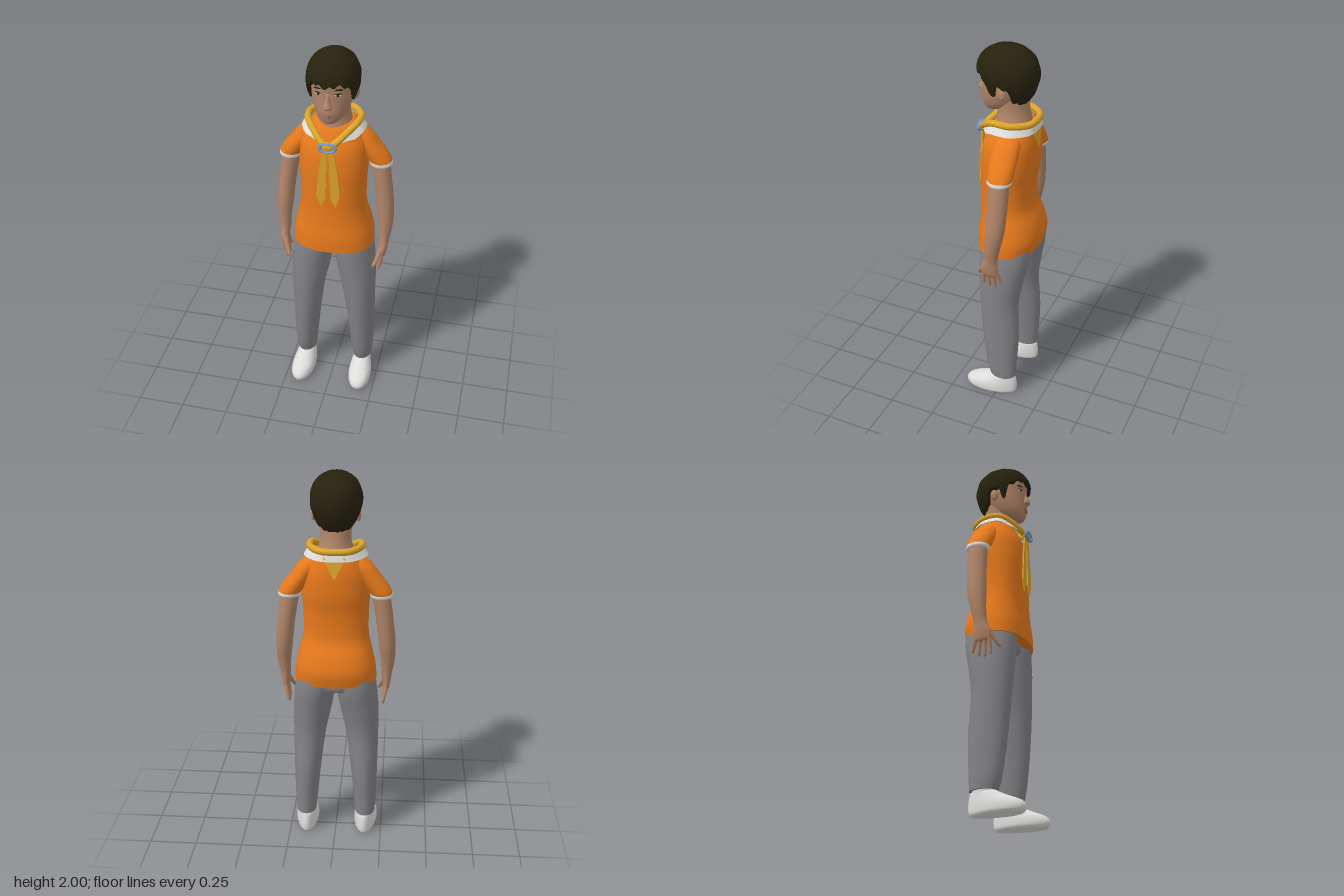
import * as THREE from 'three';

const mat = (name, color) => {
  const m = new THREE.MeshStandardMaterial({ color });
  m.name = name;
  return m;
};

// Smooth body from horizontal rings, listed bottom to top: [y, centre x, half width, back z, front z]
function loft(rows, { seg = 32, sub = 5, power = 1, side = 1 } = {}) {
  const rings = [];
  for (let i = 0; i < rows.length - 1; i++) {
    const [a, b, c, d] = [-1, 0, 1, 2].map(k => rows[Math.min(rows.length - 1, Math.max(0, i + k))]);
    for (let s = 0; s < sub; s++) {
      const t = s / sub;
      rings.push(b.map((_, k) => b[k] + 0.5 * t * (c[k] - a[k]
        + t * (2 * a[k] - 5 * b[k] + 4 * c[k] - d[k] + t * (3 * (b[k] - c[k]) + d[k] - a[k])))));
    }
  }
  rings.push(rows[rows.length - 1]);
  const pos = [], idx = [];
  const curve = v => Math.sign(v) * Math.abs(v) ** power;
  const addRing = ([y, cx, rx, back, front]) => {
    const start = pos.length / 3;
    for (let j = 0; j < seg; j++) {
      const a = j / seg * Math.PI * 2;
      pos.push(cx * side + rx * curve(Math.sin(a)), y,
        (front + back) / 2 + (front - back) / 2 * curve(Math.cos(a)));
    }
    return start;
  };
  rings.forEach(addRing);
  for (let i = 0; i < rings.length - 1; i++) for (let j = 0; j < seg; j++) {
    const p = i * seg + j, q = i * seg + (j + 1) % seg;
    idx.push(p, q, q + seg, p, q + seg, p + seg);
  }
  // flat end caps
  for (const [r, top] of [[rings[0], false], [rings[rings.length - 1], true]]) {
    const s = addRing(r), c = pos.length / 3;
    pos.push(r[1] * side, r[0], (r[3] + r[4]) / 2);
    for (let j = 0; j < seg; j++) {
      const n = s + (j + 1) % seg;
      if (top) idx.push(c, s + j, n); else idx.push(c, n, s + j);
    }
  }
  return indexed(pos, idx);
}

function indexed(pos, idx) {
  const g = new THREE.BufferGeometry();
  g.setAttribute('position', new THREE.Float32BufferAttribute(pos, 3));
  g.setIndex(idx);
  g.computeVertexNormals();
  return g;
}

// Hair cap whose lower edge follows a hairline around the head
function hairGeometry() {
  const line = [[0, 1.872], [0.5, 1.885], [0.85, 1.86], [1.08, 1.84], [1.2, 1.77], [1.36, 1.77],
    [1.45, 1.83], [1.85, 1.82], [2.05, 1.75], [2.5, 1.725], [3.15, 1.72]];
  const hairline = a => {
    const i = Math.max(1, line.findIndex(p => p[0] >= a));
    const [p, q] = [line[i - 1], line[i]];
    return p[1] + (q[1] - p[1]) * (a - p[0]) / (q[0] - p[0]);
  };
  const seg = 96, n = 24, pos = [], idx = [];
  for (let i = 0; i <= n + 1; i++) for (let j = 0; j < seg; j++) {
    const a = j / seg * Math.PI * 2;
    const h = hairline(Math.min(a, Math.PI * 2 - a)) + 0.007 * Math.sin(a * 17);
    const y = h + (2 - h) * Math.cos(Math.min(1, i / n) * Math.PI / 2);
    let r = y > 1.86 ? Math.sqrt(Math.max(0, 1 - ((y - 1.86) / 0.14) ** 2.3)) : 1 - 18 * (1.86 - y) ** 2;
    r *= 1 + 0.012 * Math.sin(9 * a + y * 45);
    if (i > n) r *= 0.82; // rim turned in against the head
    pos.push(0.129 * r * Math.sin(a), y, 0.011 + 0.156 * r * Math.cos(a));
  }
  for (let i = 0; i <= n; i++) for (let j = 0; j < seg; j++) {
    const p = i * seg + j, q = i * seg + (j + 1) % seg;
    idx.push(p, q + seg, q, p, p + seg, q + seg);
  }
  return indexed(pos, idx);
}

export function createModel() {
  const model = new THREE.Group();
  const orange = mat('orange cloth', 0xe87a1c), skin = mat('skin', 0xb08468), hairMat = mat('dark hair', 0x26220e);
  const grey = mat('grey trousers', 0x838387), white = mat('white', 0xdcdcda), yellow = mat('yellow scarf', 0xdba32a);
  const blue = mat('blue ring', 0x6f9bdb), lip = mat('lips', 0x99665a);
  const collarWhite = mat('white collar', 0xdededc);
  collarWhite.side = THREE.DoubleSide;

  const add = (name, geo, m, x = 0, y = 0, z = 0) => {
    const mesh = new THREE.Mesh(geo, m);
    mesh.name = name;
    mesh.position.set(x, y, z);
    model.add(mesh);
    return mesh;
  };
  const ball = (name, m, x, y, z, sx, sy, sz) => {
    const b = add(name, new THREE.SphereGeometry(1, 20, 14), m, x, y, z);
    b.scale.set(sx, sy, sz);
    return b;
  };
  const plate = points => new THREE.ExtrudeGeometry(
    new THREE.Shape(points.map(p => new THREE.Vector2(...p))), { depth: 0.008, bevelEnabled: false });

  // Shirt and hips
  add('shirt', loft([
    [0.925, 0, 0.212, -0.168, 0.148], [1.0, 0, 0.206, -0.182, 0.148], [1.08, 0, 0.188, -0.165, 0.138],
    [1.17, 0, 0.168, -0.13, 0.134], [1.3, 0, 0.167, -0.13, 0.137], [1.4, 0, 0.172, -0.146, 0.137],
    [1.5, 0, 0.166, -0.15, 0.125], [1.56, 0, 0.147, -0.143, 0.1], [1.61, 0, 0.118, -0.13, 0.075],
    [1.63, 0, 0.09, -0.115, 0.05]], { seg: 48, power: 0.88 }), orange);
  add('hips', loft([[0.865, 0, 0.1, -0.1, 0.06], [0.89, 0, 0.17, -0.135, 0.09], [0.96, 0, 0.19, -0.14, 0.1]]), grey);

  // Head and neck
  add('neck', loft([[1.57, 0, 0.1, -0.12, 0.08], [1.63, 0, 0.086, -0.11, 0.066],
    [1.68, 0, 0.076, -0.098, 0.062], [1.76, 0, 0.08, -0.09, 0.06]]), skin);
  add('head', loft([[1.662, 0, 0.02, 0.07, 0.115], [1.672, 0, 0.042, 0.03, 0.129], [1.695, 0, 0.066, -0.03, 0.138],
    [1.73, 0, 0.085, -0.07, 0.143], [1.78, 0, 0.1, -0.1, 0.14], [1.84, 0, 0.106, -0.118, 0.14],
    [1.9, 0, 0.102, -0.115, 0.142], [1.95, 0, 0.07, -0.08, 0.095], [1.975, 0, 0.02, -0.02, 0.03]], { seg: 40 }), skin);
  add('nose', loft([[1.75, 0, 0.012, 0.12, 0.148], [1.757, 0, 0.021, 0.12, 0.16], [1.768, 0, 0.022, 0.12, 0.165],
    [1.795, 0, 0.013, 0.12, 0.155], [1.835, 0, 0.01, 0.11, 0.14]], { seg: 16 }), skin);
  add('hair', hairGeometry(), hairMat);
  ball('upperLip', lip, 0, 1.724, 0.139, 0.025, 0.005, 0.007);
  ball('lowerLip', lip, 0, 1.714, 0.138, 0.021, 0.006, 0.008);

  // Scarf loop, open white collar beneath it, knot, ring and back corner
  const V = (x, y, z) => new THREE.Vector3(x, y, z);
  const half = [[0.07, 1.638, -0.125], [0.125, 1.64, -0.05], [0.122, 1.64, 0.03], [0.085, 1.612, 0.085], [0.035, 1.57, 0.13]];
  const loop = new THREE.CatmullRomCurve3([V(0, 1.638, -0.14), ...half.map(p => V(...p)), V(0, 1.553, 0.142),
    ...half.slice().reverse().map(([x, y, z]) => V(-x, y, z))], true);
  add('scarfLoop', new THREE.TubeGeometry(loop, 96, 0.017, 12, true), yellow);
  const pos = [], idx = [], n = 80;
  for (let i = 0; i <= n; i++) {
    const p = loop.getPointAt(i / n);
    const w = Math.min(1, Math.max(0, (0.14 - p.z) / 0.07)); // narrows toward the knot
    const out = 1 + 0.22 * w;
    pos.push(p.x, p.y - 0.004, p.z, p.x * out, p.y - 0.043 * w - 0.004, p.z < 0 ? p.z * 1.08 : p.z + 0.012 * w);
    if (i < n) idx.push(2 * i, 2 * i + 2, 2 * i + 1, 2 * i + 1, 2 * i + 2, 2 * i + 3);
  }
  add('collar', indexed(pos, idx), collarWhite);
  ball('scarfKnot', yellow, 0, 1.552, 0.142, 0.036, 0.026, 0.018);
  add('scarfRing', new THREE.TorusGeometry(0.039, 0.009, 12, 36), blue, 0, 1.553, 0.155).scale.y = 0.58;
  add('scarfBackCorner', plate([[-0.055, 0.11], [0, 0], [0.055, 0.11]]), yellow, 0, 1.5, -0.157).rotation.x = 0.12;

  for (const s of [1, -1]) {
    const part = (name, rows, m, opt = {}) => add(name, loft(rows, { side: s, ...opt }), m);

    // Scarf tail
    add('scarfTail', plate([[0.003, 1.545], [0.025, 1.545], [0.045, 1.42], [0.06, 1.27], [0.036, 1.21], [0.012, 1.26]]
      .map(([x, y]) => [x * s, y])), yellow, 0, 0, 0.136);

    // Face details
    ball('ear', skin, s * 0.108, 1.79, -0.002, 0.013, 0.034, 0.022).rotation.y = s * -0.25;
    ball('eyeWhite', white, s * 0.045, 1.824, 0.125, 0.017, 0.007, 0.006).rotation.y = s * 0.35;
    ball('iris', hairMat, s * 0.045, 1.825, 0.129, 0.008, 0.007, 0.004);
    ball('upperEyelid', hairMat, s * 0.046, 1.831, 0.126, 0.02, 0.003, 0.006).rotation.y = s * 0.35;
    const brow = ball('eyebrow', hairMat, s * 0.048, 1.853, 0.126, 0.024, 0.004, 0.005);
    brow.rotation.set(0, s * 0.35, s * -0.1);

    // Sleeve and its white cuff
    part('sleeve', [[1.395, 0.23, 0.053, -0.1, 0.015], [1.41, 0.226, 0.058, -0.107, 0.02], [1.45, 0.2, 0.062, -0.108, 0.024],
      [1.5, 0.163, 0.06, -0.108, 0.028], [1.55, 0.128, 0.058, -0.105, 0.025], [1.59, 0.1, 0.04, -0.085, 0.01],
      [1.605, 0.09, 0.02, -0.06, -0.01]], orange);
    part('cuff', [[1.384, 0.231, 0.055, -0.1, 0.016], [1.392, 0.231, 0.058, -0.105, 0.02],
      [1.406, 0.229, 0.057, -0.105, 0.02]], white);

    // Arm, palm, fingers and thumb
    part('arm', [[0.845, 0.258, 0.01, -0.035, 0.03], [0.86, 0.26, 0.017, -0.045, 0.044], [0.9, 0.264, 0.021, -0.045, 0.045],
      [0.95, 0.264, 0.027, -0.045, 0.026], [1.02, 0.268, 0.035, -0.058, 0.02], [1.12, 0.264, 0.043, -0.08, 0.018],
      [1.25, 0.25, 0.044, -0.09, 0.012], [1.38, 0.23, 0.046, -0.092, 0.008], [1.44, 0.215, 0.04, -0.09, 0.005]], skin);
    for (const [root, tip, end] of [[-0.035, -0.056, 0.8], [-0.012, -0.024, 0.776], [0.012, 0.008, 0.77], [0.034, 0.04, 0.782]]) {
      const ring = (t, r) => {
        const z = tip + (root - tip) * t;
        return [end + (0.875 - end) * t, 0.246 + 0.016 * t, r, z - r, z + r];
      };
      part('finger', [ring(0, 0.003), ring(0.06, 0.007), ring(0.5, 0.01), ring(1, 0.012)], skin, { seg: 12 });
    }
    part('thumb', [[0.82, 0.224, 0.004, 0.074, 0.082], [0.827, 0.226, 0.009, 0.066, 0.086],
      [0.86, 0.24, 0.012, 0.043, 0.068], [0.915, 0.262, 0.016, 0.005, 0.04]], skin, { seg: 14 });

    // Trouser leg, sock and shoe
    part('trouserLeg', [[0.12, 0.161, 0.053, -0.1, 0.045], [0.2, 0.16, 0.06, -0.104, 0.066], [0.4, 0.152, 0.072, -0.113, 0.09],
      [0.6, 0.14, 0.086, -0.104, 0.105], [0.75, 0.124, 0.101, -0.124, 0.112], [0.88, 0.108, 0.106, -0.15, 0.118],
      [0.97, 0.1, 0.1, -0.15, 0.115]], grey);
    part('sock', [[0.08, 0.161, 0.042, -0.085, 0.04], [0.135, 0.161, 0.042, -0.085, 0.035]], white);
    const shoe = part('shoe', [[0, 0, 0.052, -0.09, 0.17], [0.012, 0, 0.062, -0.102, 0.184], [0.035, 0, 0.064, -0.106, 0.187],
      [0.06, 0, 0.061, -0.106, 0.165], [0.085, 0, 0.054, -0.103, 0.105], [0.108, 0, 0.047, -0.098, 0.055],
      [0.115, 0, 0.04, -0.092, 0.045]], white);
    // widen the toe, narrow the heel
    const p = shoe.geometry.attributes.position;
    for (let i = 0; i < p.count; i++) p.setX(i, p.getX(i) * (0.93 + 0.9 * p.getZ(i)) + s * p.getZ(i) * 0.04);
    shoe.geometry.computeVertexNormals();
    shoe.position.x = s * 0.161;
  }
  return model;
}
